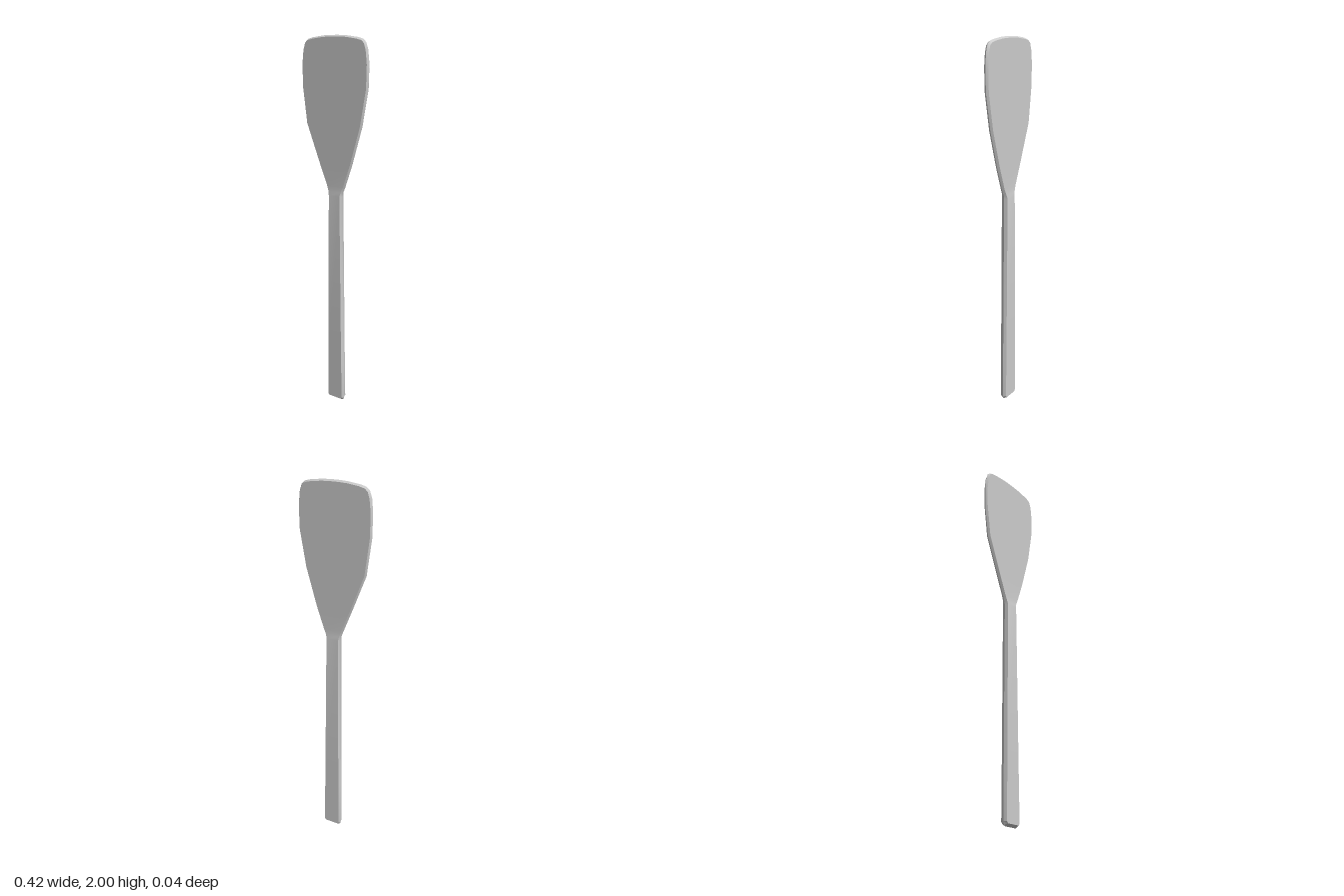
import * as THREE from 'three';
import { toCreasedNormals } from 'three/addons/utils/BufferGeometryUtils.js';

// Outline rows: left x, right x, y, half thickness, bevel width
const ROWS = [
  [-0.026, 0.052, 0, 0.018, 0.014],
  [-0.036, 0.06, 0.006, 0.018, 0.01],
  [-0.041, 0.065, 0.022, 0.018, 0.006],
  [-0.039, 0.06, 0.3, 0.018, 0.006],
  [-0.034, 0.047, 1.18, 0.018, 0.006],
  [-0.038, 0.051, 1.2, 0.014, 0.006],
  [-0.05, 0.066, 1.23, 0.012, 0.007],
  [-0.1, 0.109, 1.35, 0.012, 0.007],
  [-0.18, 0.169, 1.55, 0.012, 0.007],
  [-0.206, 0.204, 1.74, 0.012, 0.007],
  [-0.208, 0.207, 1.86, 0.012, 0.007],
  [-0.201, 0.2, 1.93, 0.012, 0.008],
  [-0.189, 0.188, 1.965, 0.012, 0.008],
  [-0.17, 0.17, 1.981, 0.012, 0.008],
  [-0.14, 0.14, 1.989, 0.012, 0.008],
  [-0.07, 0.07, 1.998, 0.012, 0.008],
  [-0.02, 0.02, 2, 0.012, 0.008],
];
const Z_MID = -0.001;

// Flat paddle: a full-size middle ring between two inset faces
function paddleGeometry(rows) {
  const n = rows.length, count = 2 * n;
  const right = rows.map(([, r, y, t, b]) => ({ x: r, y, t, b }));
  const left = rows.map(([l, , y, t, b]) => ({ x: l, y, t, b }));
  const ring = [...right, ...left.reverse()]; // counterclockwise from the front

  // Shift each outline point inward along the mean normal of its two edges
  const inset = ring.map((p, i) => {
    const a = ring[(i + count - 1) % count], c = ring[(i + 1) % count];
    const e1 = new THREE.Vector2(p.x - a.x, p.y - a.y).normalize();
    const e2 = new THREE.Vector2(c.x - p.x, c.y - p.y).normalize();
    const d = e1.add(e2).normalize();
    return { x: p.x - d.y * p.b, y: p.y + d.x * p.b };
  });

  const pos = [], index = [];
  ring.forEach((p) => pos.push(p.x, p.y, Z_MID));
  inset.forEach((p, i) => pos.push(p.x, p.y, Z_MID + ring[i].t));
  inset.forEach((p, i) => pos.push(p.x, p.y, Z_MID - ring[i].t));
  const quad = (a, b, c, d) => index.push(a, b, c, a, c, d);

  // Bevelled rim
  for (let i = 0; i < count; i++) {
    const j = (i + 1) % count;
    quad(i, j, count + j, count + i);
    quad(2 * count + i, 2 * count + j, j, i);
  }
  // Front and back faces, strip by strip
  for (let i = 0; i < n - 1; i++) {
    const l = count - 1 - i;
    quad(count + l, count + i, count + i + 1, count + l - 1);
    quad(2 * count + i, 2 * count + l, 2 * count + l - 1, 2 * count + i + 1);
  }

  const geo = new THREE.BufferGeometry();
  geo.setAttribute('position', new THREE.Float32BufferAttribute(pos, 3));
  geo.setIndex(index);
  return toCreasedNormals(geo, 0.5);
}

export function createModel() {
  const group = new THREE.Group();
  group.name = 'spatula';
  const material = new THREE.MeshStandardMaterial({ color: 0xcccccc });
  const body = new THREE.Mesh(paddleGeometry(ROWS), material);
  body.name = 'handleAndBlade';
  group.add(body);
  return group;
}
